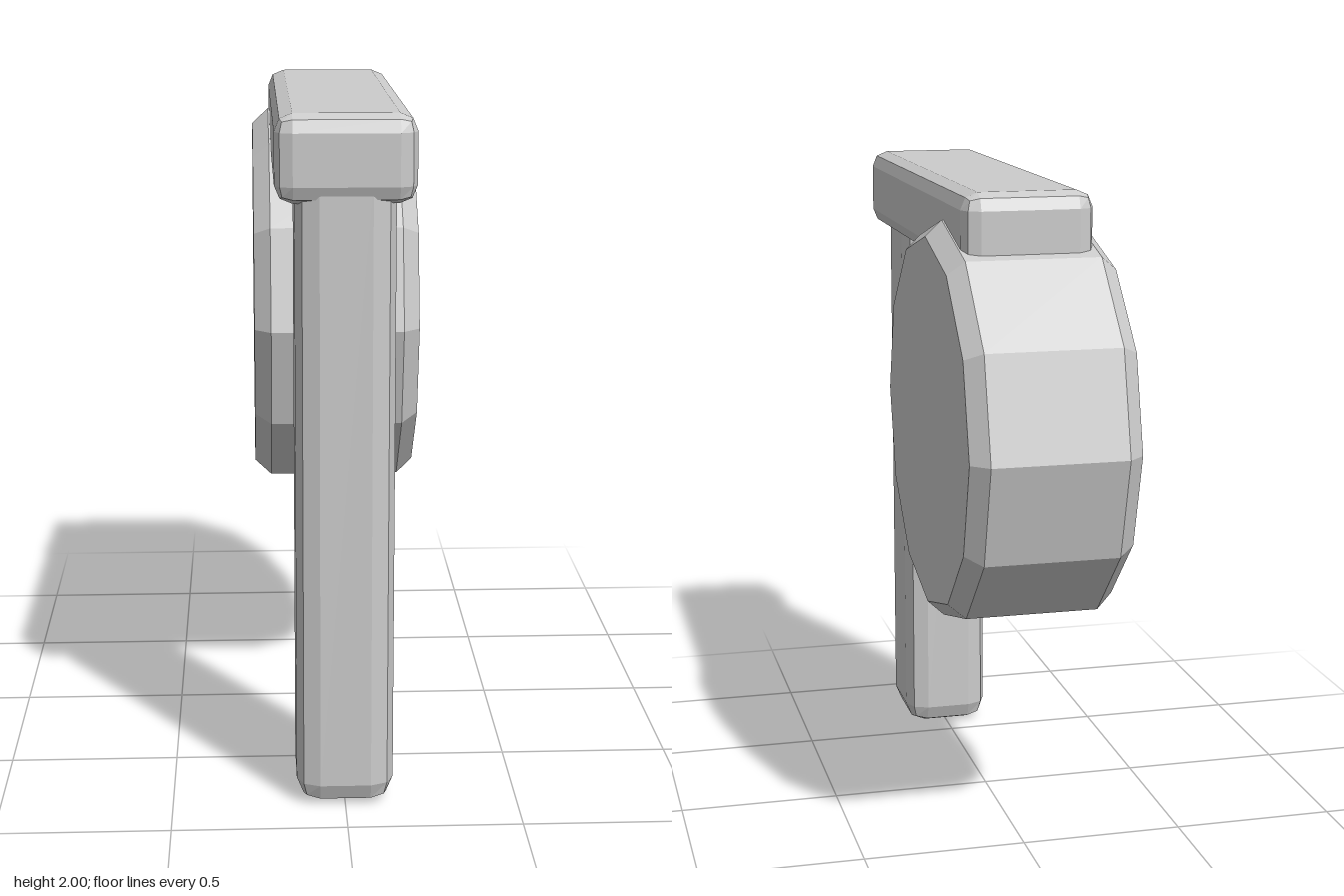
import * as THREE from 'three';

const material = new THREE.MeshStandardMaterial({ color: 0xcccccc, flatShading: true });

// Box whose edges are rounded by two flat facets of radius r
function bevelledBox(w, h, d, r) {
  const geo = new THREE.BoxGeometry(2, 2, 2, 3, 3, 3);
  const pos = geo.attributes.position;
  const inner = new THREE.Vector3(w / 2 - r, h / 2 - r, d / 2 - r);
  const p = new THREE.Vector3();
  for (let i = 0; i < pos.count; i++) {
    p.fromBufferAttribute(pos, i);
    const core = new THREE.Vector3(Math.sign(p.x), Math.sign(p.y), Math.sign(p.z)).multiply(inner);
    const dir = new THREE.Vector3(...p.toArray().map((c) => (Math.abs(c) > 0.9 ? Math.sign(c) : 0)));
    p.copy(core).addScaledVector(dir.normalize(), r);
    pos.setXYZ(i, p.x, p.y, p.z);
  }
  return geo;
}

function addPart(group, name, geometry, x, y, z) {
  const flat = geometry.toNonIndexed();
  flat.computeVertexNormals();
  const mesh = new THREE.Mesh(flat, material);
  mesh.name = name;
  mesh.position.set(x, y, z);
  group.add(mesh);
  return mesh;
}

export function createModel() {
  const group = new THREE.Group();
  group.name = 'postWithDrum';

  // Upright post, its top sunk into the beam
  addPart(group, 'post', bevelledBox(0.28, 1.9, 0.32, 0.067), 0, 0.95, 0.71);

  // Horizontal beam running back from the post
  addPart(group, 'beam', bevelledBox(0.39, 0.245, 1.425, 0.05), 0, 1.8775, 0.168);

  // Twelve-sided drum with chamfered rims, lying on the x axis
  const profile = [[0, -0.25], [0.56, -0.25], [0.607, -0.2], [0.607, 0.2], [0.56, 0.25], [0, 0.25]]
    .map(([r, y]) => new THREE.Vector2(r, y));
  const drum = new THREE.LatheGeometry(profile, 12);
  drum.rotateZ(Math.PI / 2);
  addPart(group, 'drum', drum, 0, 1.29, -0.275);

  return group;
}
